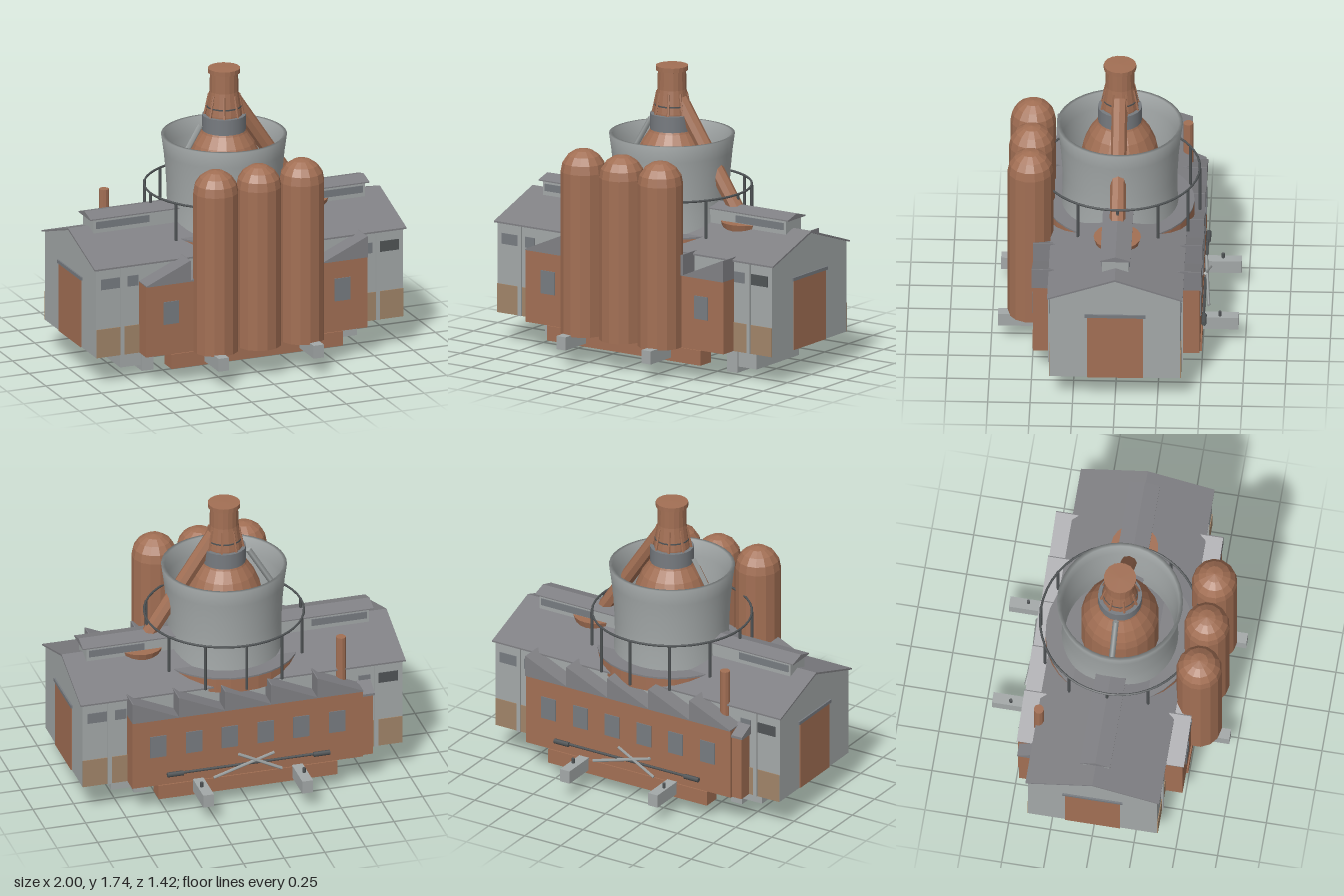
import * as THREE from 'three';

const mat = (name, color, opts = {}) => {
  const m = new THREE.MeshStandardMaterial({ color, ...opts });
  m.name = name;
  return m;
};

export function createModel() {
  const wall = mat('pale concrete', 0xa3a8a8, { side: THREE.DoubleSide });
  const roofGrey = mat('roof grey', 0x808084, { side: THREE.DoubleSide });
  const brick = mat('brick', 0xa26f54, { flatShading: true });
  const tan = mat('tan plinth', 0xa08468);
  const glass = mat('window grey', 0x777b80);
  const dark = mat('dark metal', 0x505456);
  const soot = mat('soot', 0x3a3a3c, { flatShading: true });

  const root = new THREE.Group();
  const add = (name, geo, m, x = 0, y = 0, z = 0) => {
    const mesh = new THREE.Mesh(geo, m);
    mesh.name = name;
    mesh.position.set(x, y, z);
    root.add(mesh);
    return mesh;
  };
  // box given by its min and max corners
  const box = (name, m, x0, x1, y0, y1, z0, z1) =>
    add(name, new THREE.BoxGeometry(x1 - x0, y1 - y0, z1 - z0), m,
      (x0 + x1) / 2, (y0 + y1) / 2, (z0 + z1) / 2);
  const cyl = (name, m, r0, r1, y0, y1, x, z, n = 16) =>
    add(name, new THREE.CylinderGeometry(r1, r0, y1 - y0, n), m, x, (y0 + y1) / 2, z);
  // rod between two points
  const rod = (name, m, a, b, r, n = 8) => {
    const p = new THREE.Vector3(...a), q = new THREE.Vector3(...b);
    const d = q.clone().sub(p);
    const mesh = add(name, new THREE.CylinderGeometry(r, r, d.length(), n), m);
    mesh.position.copy(p).add(q).multiplyScalar(0.5);
    mesh.quaternion.setFromUnitVectors(new THREE.Vector3(0, 1, 0), d.normalize());
    return mesh;
  };
  const extrude = (pts, depth) => new THREE.ExtrudeGeometry(
    new THREE.Shape(pts.map(p => new THREE.Vector2(...p))), { depth, bevelEnabled: false });
  // outline in z,y extruded along x
  const prismX = (name, m, pts, x0, x1) => {
    const mesh = add(name, extrude(pts, x1 - x0), m, x0);
    mesh.rotation.y = Math.PI / 2;
    return mesh;
  };
  const lathe = (name, m, pts, n) => add(name,
    new THREE.LatheGeometry(pts.map(p => new THREE.Vector2(...p)), n), m);

  // main hall with gabled roof
  prismX('hall', wall, [[-0.385, 0.18], [0.385, 0.18], [0.385, 0.73], [0, 0.86], [-0.385, 0.73]], -0.985, 0.985);
  prismX('hallRoof', roofGrey, [[-0.4, 0.725], [0, 0.86], [0.4, 0.725], [0.4, 0.735], [0, 0.872], [-0.4, 0.735]], -1, 1);

  // ridge monitor
  box('monitorWalls', wall, -0.87, 0.87, 0.82, 0.93, -0.078, 0.078);
  prismX('monitorRoof', roofGrey, [[-0.09, 0.93], [0.09, 0.93], [0.09, 0.937], [0, 0.963], [-0.09, 0.937]], -0.895, 0.895);
  for (const s of [-1, 1]) for (const t of [-1, 1]) {
    const x = s * 0.685;
    box('monitorWindow', glass, x - 0.17, x + 0.17, 0.872, 0.915, t * 0.08 - 0.004, t * 0.08 + 0.004);
  }

  for (const s of [-1, 1]) {
    // end doors and their lintels
    box('door', brick, s * 0.987 - 0.004, s * 0.987 + 0.004, 0.18, 0.6, -0.165, 0.165);
    box('lintel', glass, s * 0.988 - 0.007, s * 0.988 + 0.007, 0.6, 0.62, -0.18, 0.18);
    for (const t of [-1, 1]) {
      // plinth panels, drainpipes and high windows at the hall corners
      const x = s * 0.847, z = t * 0.386;
      box('plinth', tan, x - 0.137, x + 0.137, 0.18, 0.355, z - 0.004, z + 0.004);
      box('pilaster', wall, s * 0.82 - 0.012, s * 0.82 + 0.012, 0.18, 0.73, t * 0.39 - 0.008, t * 0.39 + 0.008);
      box('highWindow', s * t > 0 ? dark : glass, s * 0.895 - 0.06, s * 0.895 + 0.06, 0.6, 0.665, z - 0.004, z + 0.004);
      box('smallWindow', glass, s * 0.75 - 0.035, s * 0.75 + 0.035, 0.6, 0.665, z - 0.004, z + 0.004);
    }
  }

  // side annexes with sawtooth roofs
  for (const t of [-1, 1]) {
    const z0 = t > 0 ? 0.38 : -0.492, z1 = t > 0 ? 0.492 : -0.38;
    box('annex', brick, -0.71, 0.71, 0.18, 0.62, z0, z1);
    for (let i = 0; i < 5; i++) {
      const x = -0.71 + i * 0.284;
      add('sawtooth', extrude([[x, 0.618], [x + 0.284, 0.618], [x + 0.284, 0.748], [x + 0.278, 0.748], [x, 0.624]], 0.16),
        roofGrey, 0, 0, t > 0 ? 0.34 : -0.5);
    }
    for (let i = 0; i < 6; i++) {
      const x = -0.55 + i * 0.22;
      if (t > 0 && i > 0 && i < 5) continue;
      box('annexWindow', glass, x - 0.05, x + 0.05, 0.37, 0.51, t * 0.493 - 0.004, t * 0.493 + 0.004);
    }
  }

  // corner shed and thin chimney
  box('shed', brick, -0.775, -0.7, 0.18, 0.58, -0.475, -0.38);
  prismX('shedRoof', roofGrey, [[0.485, 0.575], [0.485, 0.59], [0.38, 0.64], [0.38, 0.575]], -0.785, -0.7);
  cyl('thinChimney', brick, 0.03, 0.03, 0.6, 0.945, -0.605, -0.385, 10);

  // silos
  for (const x of [-0.276, 0, 0.276]) {
    const p = [[0, 0.18], [0.135, 0.18], [0.135, 1.165]];
    for (let i = 1; i <= 4; i++) {
      const a = i * Math.PI / 8;
      p.push([i === 4 ? 0 : 0.135 * Math.cos(a), 1.165 + 0.135 * Math.sin(a)]);
    }
    lathe('silo', brick, p, 14).position.set(x, 0, 0.52);
  }

  // cooling tower: base ring, curved shell and inner floor
  cyl('towerBase', brick, 0.44, 0.44, 0.7, 0.785, 0, 0, 32);
  cyl('towerDeck', roofGrey, 0.44, 0.44, 0.785, 0.795, 0, 0, 32);
  lathe('towerShell', wall, [[0.345, 0.79], [0.338, 0.9], [0.34, 1.0], [0.347, 1.12], [0.358, 1.23], [0.372, 1.33],
    [0.35, 1.33], [0.34, 1.23], [0.33, 1.12], [0.322, 1.0], [0.32, 0.9], [0.325, 0.79]], 40);

  // railing around the tower
  const rail = add('railing', new THREE.TorusGeometry(0.472, 0.007, 6, 48), dark, 0, 1.02, 0);
  rail.rotation.x = Math.PI / 2;
  for (let i = 0; i < 12; i++) {
    const a = i * Math.PI / 6;
    cyl('railPost', dark, 0.009, 0.009, 0.73, 1.02, 0.472 * Math.cos(a), 0.472 * Math.sin(a), 6);
  }

  // furnace body, collar and stack
  lathe('furnace', brick, [[0.23, 0.79], [0.23, 1.13], [0.215, 1.2], [0.18, 1.28], [0.135, 1.345], [0.12, 1.38]], 20);
  cyl('collar', glass, 0.13, 0.13, 1.355, 1.452, 0, 0, 20);
  lathe('stack', brick, [[0.11, 1.4], [0.108, 1.46], [0.086, 1.6], [0.084, 1.71], [0.096, 1.713], [0.096, 1.74], [0, 1.742]], 18);
  cyl('stackBand', dark, 0.104, 0.104, 1.5, 1.508, 0, 0, 18);
  for (let i = 0; i < 8; i++) {
    const a = (i + 0.5) * Math.PI / 4;
    rod('stackFin', brick, [0.115 * Math.cos(a), 1.45, 0.115 * Math.sin(a)],
      [0.088 * Math.cos(a), 1.58, 0.088 * Math.sin(a)], 0.008, 5);
  }

  // sloping duct with its roof flange, and the strut opposite
  rod('duct', brick, [0.06, 1.54, 0], [0.51, 0.86, 0], 0.047, 8);
  cyl('ductFlange', brick, 0.12, 0.14, 0.8, 0.868, 0.52, 0, 20);
  rod('strut', wall, [-0.33, 1.1, 0], [-0.15, 1.4, 0], 0.018, 4);

  // foundations: footings, cross beams and long sills
  box('floorSlab', wall, -0.65, 0.65, 0.165, 0.185, -0.38, 0.38);
  for (const s of [-1, 1]) {
    box('footing', wall, s * 0.583 - 0.038, s * 0.583 + 0.038, 0, 0.17, -0.22, 0.22);
    box('outerFooting', wall, s * 0.695 - 0.065, s * 0.695 + 0.065, 0.04, 0.175, -0.22, 0.22);
    box('crossBeam', wall, s * 0.305 - 0.033, s * 0.305 + 0.033, 0.11, 0.19, -0.71, 0.71);
    cyl('beamBolt', dark, 0.01, 0.01, 0.185, 0.22, s * 0.315, -0.6, 6);
    box('sill', brick, -0.55, 0.55, 0.09, 0.18, s * 0.445 - 0.055, s * 0.445 + 0.055);
    box('innerSill', brick, -0.55, 0.55, 0.12, 0.17, s * 0.25 - 0.025, s * 0.25 + 0.025);
  }

  // hearth bowl below the floor
  lathe('hearthBowl', brick, [[0.1, 0.035], [0.16, 0.065], [0.2, 0.1], [0.21, 0.17]], 14);
  lathe('hearthBottom', soot, [[0, 0.015], [0.05, 0.018], [0.1, 0.035]], 10);

  // loose bars against the rear wall
  rod('rearBar', dark, [0.5, 0.25, -0.505], [-0.5, 0.25, -0.505], 0.008, 6);
  rod('rearBar', wall, [0.22, 0.2, -0.53], [-0.16, 0.3, -0.505], 0.01, 4);
  rod('rearBar', wall, [-0.2, 0.2, -0.53], [0.06, 0.32, -0.505], 0.01, 4);
  for (const s of [-1, 1]) rod('rearBracket', dark, [s * 0.4, 0.25, -0.51], [s * 0.5, 0.25, -0.51], 0.015, 6);

  return root;
}
